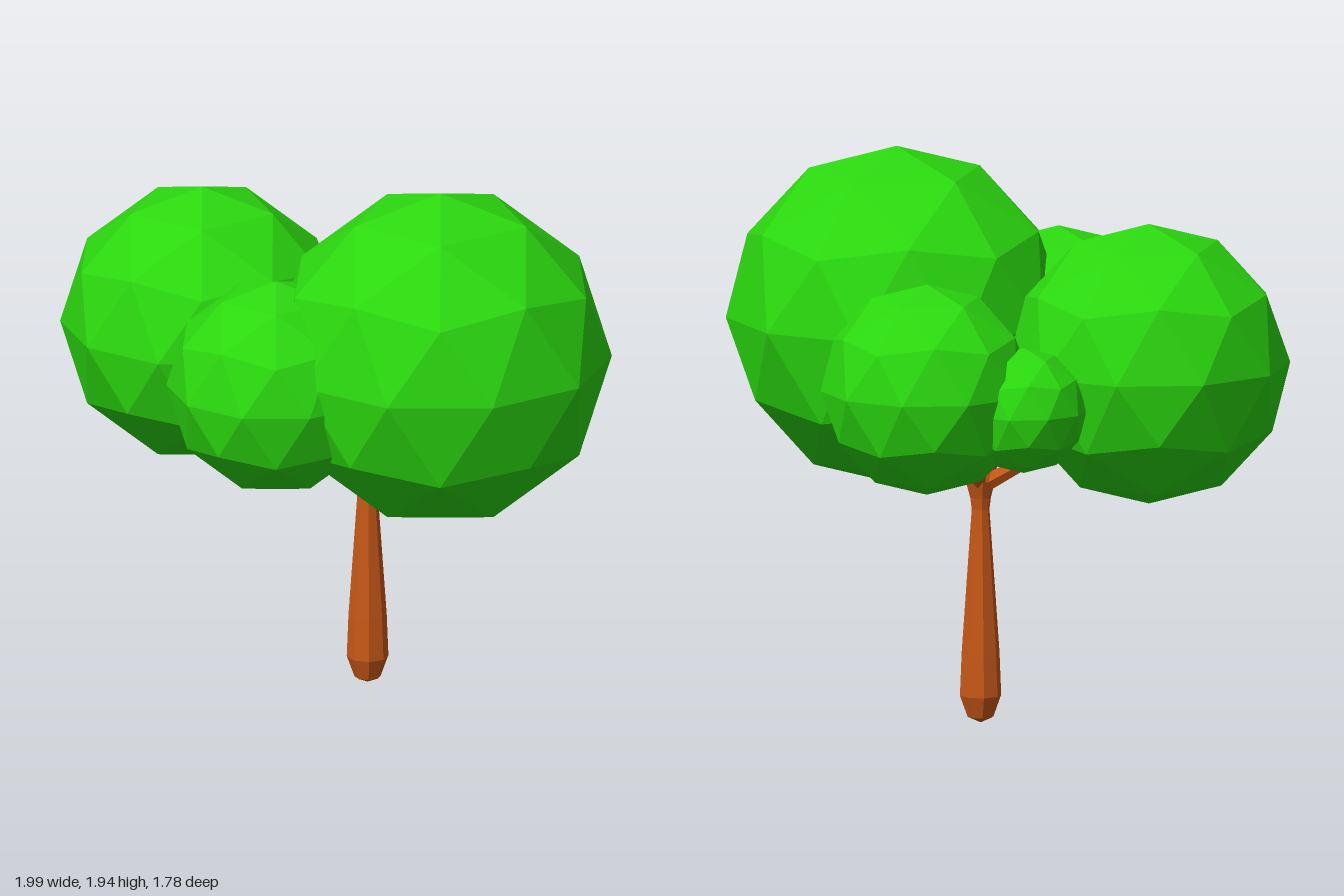
import * as THREE from 'three';

const bark = new THREE.MeshStandardMaterial({ color: 0xc85818, flatShading: true });
const leaf = new THREE.MeshStandardMaterial({ color: 0x2bd80f, flatShading: true });

export function createModel() {
  const tree = new THREE.Group();
  tree.name = 'tree';

  const add = (geometry, material, name) => {
    const mesh = new THREE.Mesh(geometry, material);
    mesh.name = name;
    tree.add(mesh);
    return mesh;
  };

  // Trunk: rounded foot, long taper, flare where the branches fork
  const profile = [
    [0, 0.005], [0.045, 0.025], [0.072, 0.1], [0.066, 0.25], [0.031, 0.75],
    [0.036, 0.79], [0.052, 0.85], [0.04, 0.89], [0, 0.91],
  ].map(([r, y]) => new THREE.Vector2(r, y));
  add(new THREE.LatheGeometry(profile, 8, Math.PI / 8), bark, 'trunk')
    .position.set(0.047, 0, -0.09);

  // Branches: tapered rods from the fork towards the crowns
  const fork = new THREE.Vector3(0.047, 0.83, -0.09);
  const up = new THREE.Vector3(0, 1, 0);
  const branches = {
    leftBranch: [0.26, 1.0, -0.06],
    rightBranch: [-0.2, 0.97, -0.09],
    frontBranch: [0.04, 0.95, 0.17],
    backBranch: [0.05, 1.03, -0.28],
  };
  for (const [name, tip] of Object.entries(branches)) {
    const end = new THREE.Vector3(...tip);
    const dir = end.clone().sub(fork);
    const rod = add(new THREE.CylinderGeometry(0.02, 0.034, dir.length(), 6), bark, name);
    rod.position.copy(fork).add(end).multiplyScalar(0.5);
    rod.quaternion.setFromUnitVectors(up, dir.normalize());
  }

  // Crowns: faceted balls turned so that one corner points straight up
  const ball = new THREE.IcosahedronGeometry(1, 1);
  ball.rotateZ(-Math.atan(2 / (1 + Math.sqrt(5))));
  ball.computeVertexNormals();
  const crowns = {
    largeCrown: [0.43, 1.352, 0.275, 0.59],
    rightCrown: [-0.537, 1.272, -0.042, 0.488],
    frontCrown: [-0.087, 1.267, 0.513, 0.378],
    backCrown: [0.134, 1.236, -0.527, 0.367],
    smallBackCrown: [-0.207, 1.175, -0.518, 0.218],
  };
  for (const [name, [x, y, z, r]] of Object.entries(crowns)) {
    const crown = add(ball, leaf, name);
    crown.position.set(x, y, z);
    crown.scale.setScalar(r);
  }

  return tree;
}
